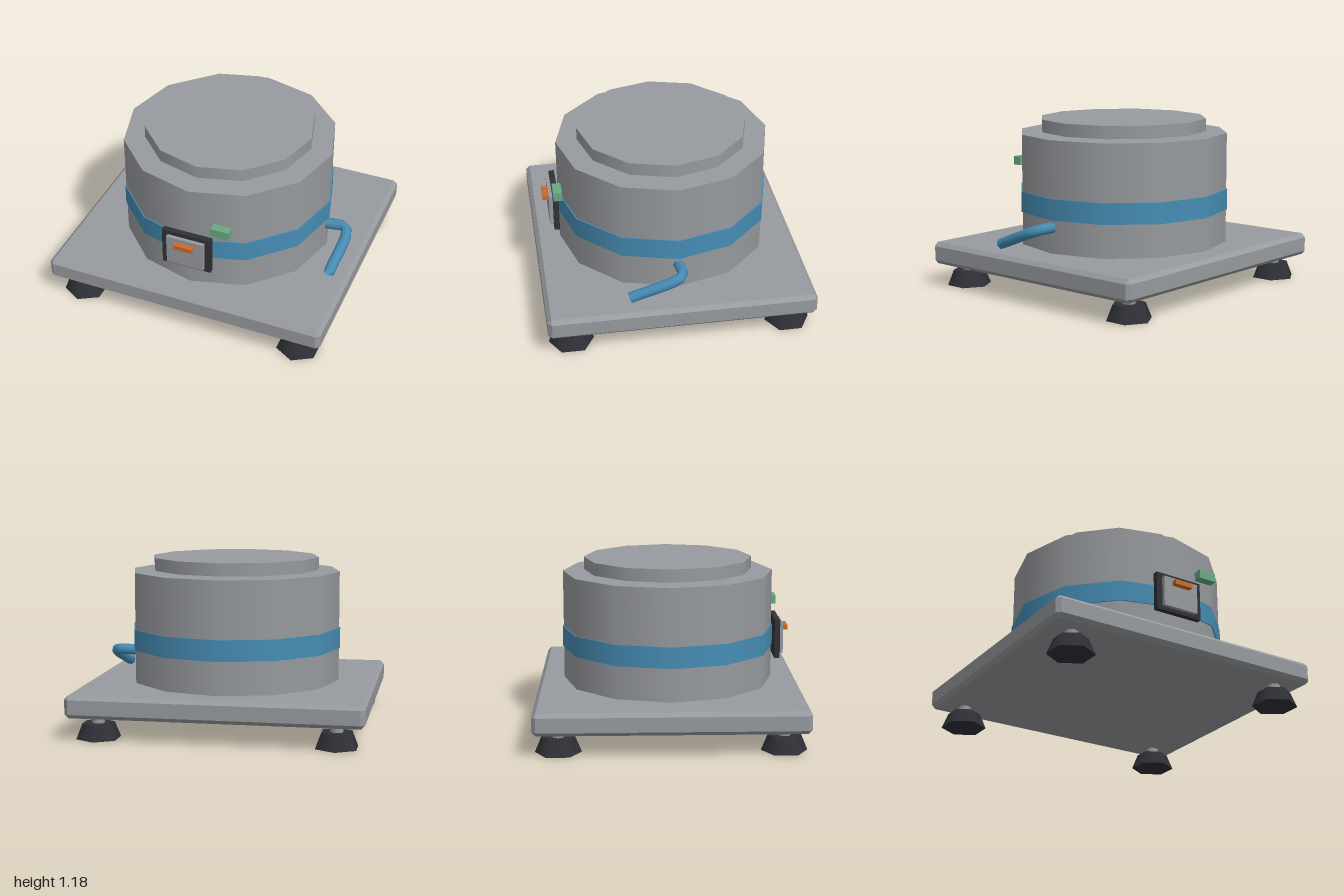
import * as THREE from 'three';
import { ConvexGeometry } from 'three/addons/geometries/ConvexGeometry.js';

function material(name, color, side = THREE.FrontSide) {
  const m = new THREE.MeshStandardMaterial({ color, side });
  m.name = name;
  return m;
}

// Box with every edge chamfered by c
function chamferedBox(w, h, d, c) {
  const points = [];
  for (const sx of [-1, 1]) for (const sy of [-1, 1]) for (const sz of [-1, 1]) {
    for (let axis = 0; axis < 3; axis++) {
      const inset = [c, c, c];
      inset[axis] = 0;
      points.push(new THREE.Vector3(
        sx * (w / 2 - inset[0]), sy * (h / 2 - inset[1]), sz * (d / 2 - inset[2])));
    }
  }
  return new ConvexGeometry(points);
}

export function createModel() {
  const model = new THREE.Group();
  model.name = 'drumUnit';

  const gray = material('steelGray', 0x979a9e);
  const dark = material('rubberBlack', 0x303138);
  const blue = material('pipeBlue', 0x468db5, THREE.DoubleSide);
  const orange = material('switchOrange', 0xd06a28);
  const green = material('lampGreen', 0x68aa84);

  function add(name, geometry, mat, x, y, z, parent = model) {
    const mesh = new THREE.Mesh(geometry, mat);
    mesh.name = name;
    mesh.position.set(x, y, z);
    parent.add(mesh);
    return mesh;
  }
  // Upright cylinder between two heights
  function addRound(name, rTop, rBottom, y0, y1, sides, mat, x = 0, z = 0, parent = model) {
    const geometry = new THREE.CylinderGeometry(rTop, rBottom, y1 - y0, sides);
    return add(name, geometry, mat, x, (y0 + y1) / 2, z, parent);
  }
  // Box given by its lower and upper corners
  function addBox(name, a, b, mat) {
    const size = b.map((v, i) => v - a[i]);
    const mid = b.map((v, i) => (v + a[i]) / 2);
    return add(name, new THREE.BoxGeometry(...size), mat, ...mid);
  }

  // Base plate
  add('basePlate', chamferedBox(2, 0.155, 1.825, 0.028), gray, 0, 0.2325, 0);

  // Four feet with short stems
  for (const sx of [-1, 1]) for (const sz of [-1, 1]) {
    const foot = new THREE.Group();
    foot.name = 'foot';
    foot.position.set(sx * 0.805, 0, sz * 0.748);
    addRound('footPad', 0.112, 0.155, 0, 0.105, 6, dark, 0, 0, foot);
    addRound('footStem', 0.045, 0.045, 0.1, 0.16, 8, gray, 0, 0, foot);
    model.add(foot);
  }

  // Drum, band and lid
  addRound('drum', 0.738, 0.738, 0.305, 1.08, 12, gray);
  addRound('band', 0.746, 0.746, 0.54, 0.685, 12, blue);
  addRound('lid', 0.59, 0.59, 1.09, 1.178, 12, gray);

  // Control panel, switch and lamp
  addBox('panelFrame', [-0.175, 0.475, 0.746], [0.175, 0.747, 0.784], dark);
  addBox('panelPlate', [-0.133, 0.502, 0.78], [0.133, 0.717, 0.81], gray);
  addBox('switch', [-0.067, 0.658, 0.806], [0.067, 0.69, 0.849], orange);
  addBox('lamp', [0.178, 0.798, 0.728], [0.307, 0.86, 0.789], green);

  // Bent drain pipe, open at its end
  const path = new THREE.CatmullRomCurve3([
    new THREE.Vector3(0.73, 0.487, 0),
    new THREE.Vector3(0.87, 0.487, 0),
    new THREE.Vector3(0.87, 0.352, 0.35),
  ]);
  add('drainPipe', new THREE.TubeGeometry(path, 10, 0.038, 8, false), blue, 0, 0, 0);

  return model;
}
